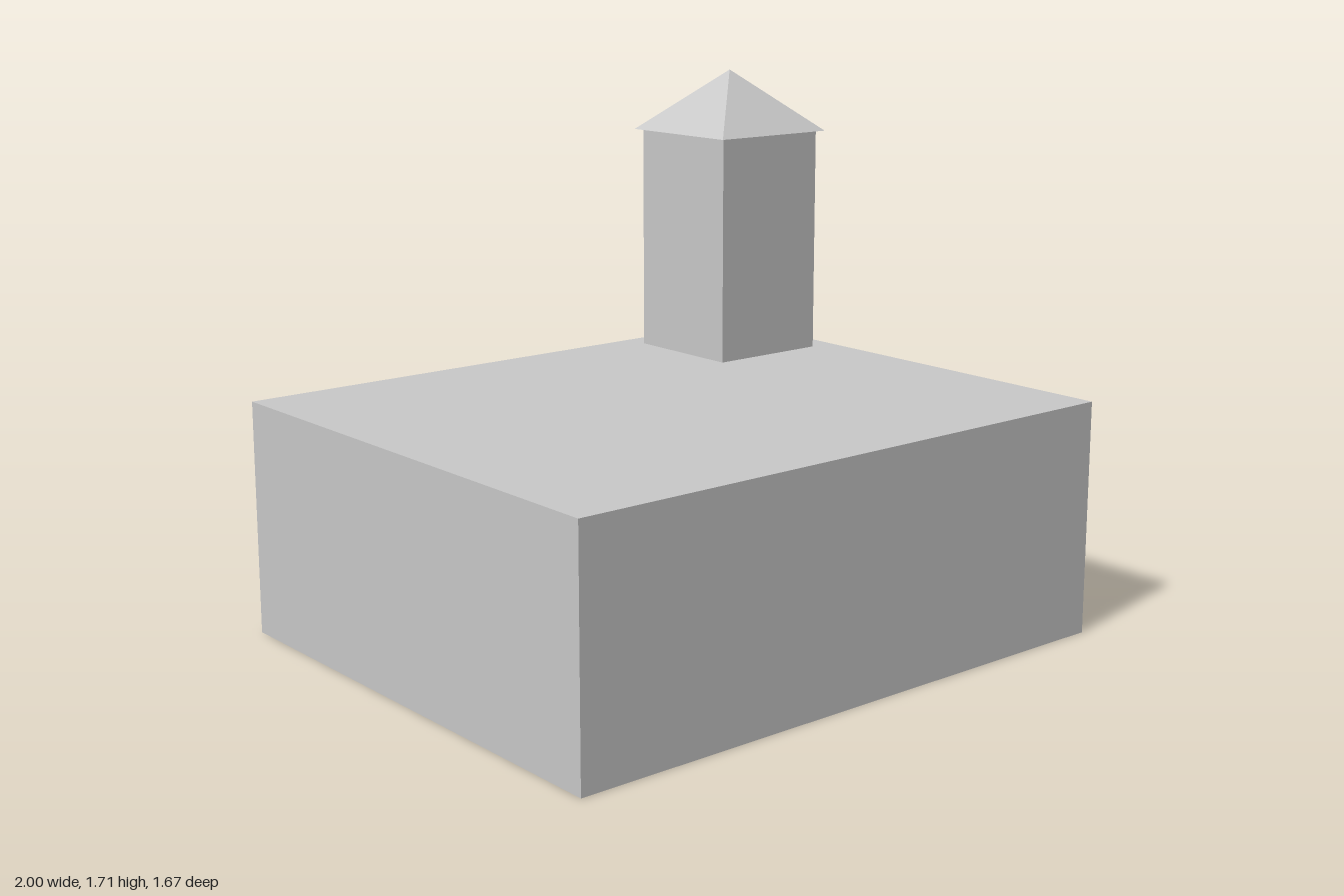
import * as THREE from 'three';

// Box standing on its base at y, without a bottom face
function openBox(width, height, depth, x, y, z) {
  const geo = new THREE.BoxGeometry(width, height, depth);
  const index = Array.from(geo.index.array);
  index.splice(18, 6); // the -y face
  geo.setIndex(index);
  geo.clearGroups();
  geo.translate(x, y + height / 2, z);
  return geo;
}

export function createModel() {
  const model = new THREE.Group();
  model.name = 'buildingWithTower';

  const grey = new THREE.MeshStandardMaterial({ color: 0xc8c8c8, side: THREE.DoubleSide });
  grey.name = 'plain grey';

  const add = (name, geo) => {
    const mesh = new THREE.Mesh(geo, grey);
    mesh.name = name;
    model.add(mesh);
  };

  const towerX = 0.706, towerZ = -0.541;

  // Main block, hollow and open underneath
  add('mainBlock', openBox(2, 0.752, 1.666, 0, 0, 0));

  // Square tower near the back left corner
  add('towerWalls', openBox(0.418, 0.752, 0.418, towerX, 0.752, towerZ));

  // Pyramid roof with a small overhang
  const roofWidth = 0.461, roofHeight = 0.205;
  const roof = new THREE.ConeGeometry(roofWidth / Math.SQRT2, roofHeight, 4, 1)
    .rotateY(Math.PI / 4)
    .translate(towerX, 1.504 + roofHeight / 2, towerZ)
    .toNonIndexed();
  roof.computeVertexNormals();
  add('towerRoof', roof);

  return model;
}
